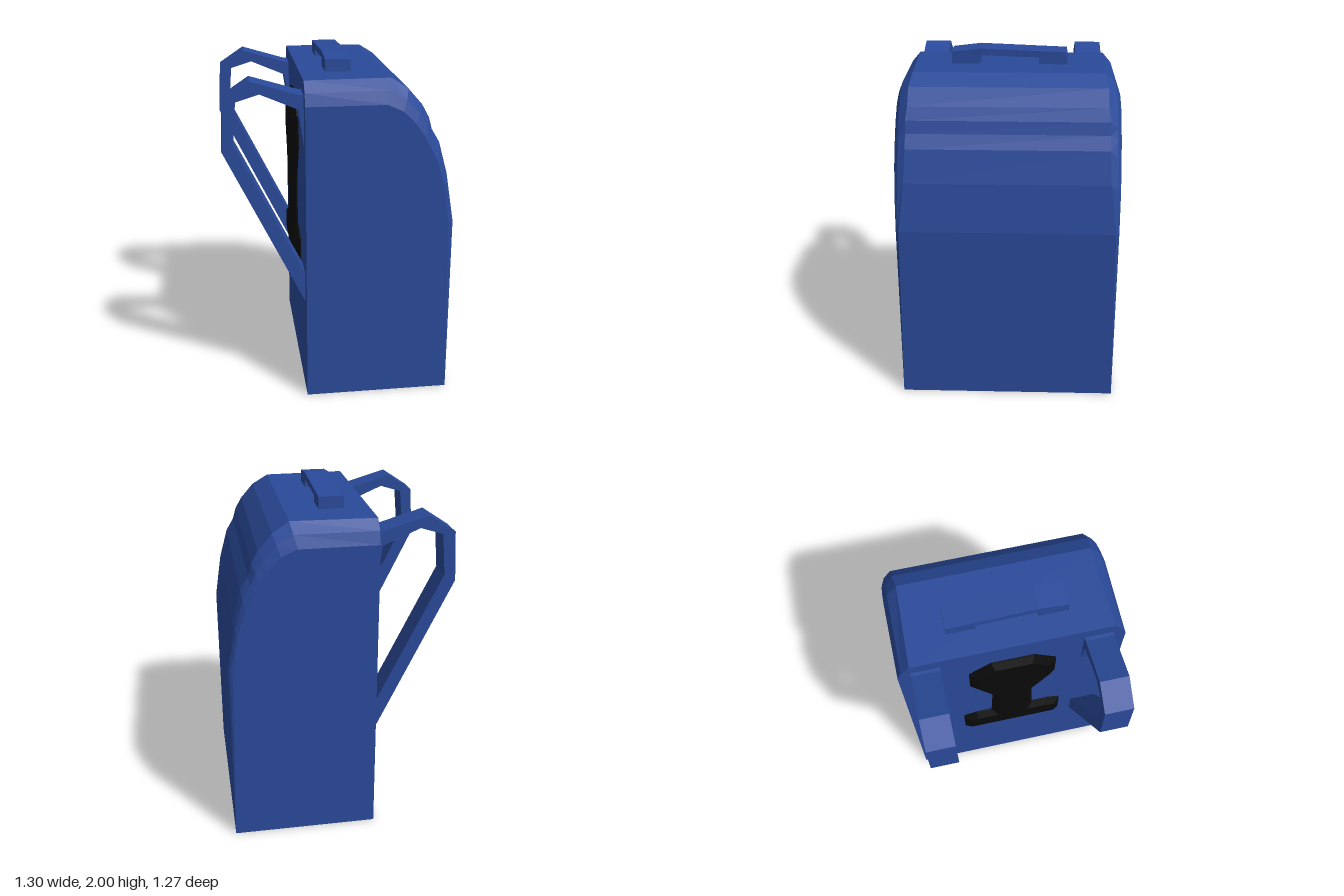
import * as THREE from 'three';

const blue = new THREE.MeshStandardMaterial({ color: 0x2a4a9a, flatShading: true });
const black = new THREE.MeshStandardMaterial({ color: 0x0a0a0a, flatShading: true });

function add(group, name, geometry, material) {
  const mesh = new THREE.Mesh(geometry, material);
  mesh.name = name;
  group.add(mesh);
  return mesh;
}

function shapeOf(points) {
  return new THREE.Shape(points.map(([x, y]) => new THREE.Vector2(x, y)));
}

// Bag body: side profiles lofted across z, bevelled along the top and curved face.
// Each row: inner x, inner y, inner z, outer x, outer y
const PROFILE = [
  [-0.2, 0, 0.635, -0.2, 0],
  [0.65, 0, 0.635, 0.65, 0],
  [0.65, 1.08, 0.615, 0.62, 1.08],
  [0.61, 1.36, 0.58, 0.59, 1.3],
  [0.56, 1.545, 0.57, 0.54, 1.45],
  [0.515, 1.62, 0.57, 0.49, 1.55],
  [0.495, 1.69, 0.57, 0.46, 1.6],
  [0.457, 1.76, 0.56, 0.41, 1.67],
  [0.378, 1.85, 0.56, 0.34, 1.74],
  [0.283, 1.91, 0.545, 0.25, 1.78],
  [-0.2, 1.91, 0.56, -0.2, 1.78],
];

function bodyGeometry() {
  const n = PROFILE.length;
  const positions = [];
  const index = [];
  // [blend towards inner profile, blend of z, side]
  const sections = [[0, 0, 1], [0.55, 0.33, 1], [1, 1, 1], [1, 1, -1], [0.55, 0.33, -1], [0, 0, -1]];
  for (const [t, tz, side] of sections) {
    for (const [ix, iy, iz, ox, oy] of PROFILE) {
      positions.push(
        THREE.MathUtils.lerp(ox, ix, t),
        THREE.MathUtils.lerp(oy, iy, t),
        side * THREE.MathUtils.lerp(0.635, iz, tz),
      );
    }
  }
  for (let s = 0; s < sections.length - 1; s++) {
    for (let i = 0; i < n; i++) {
      const j = (i + 1) % n;
      const a = s * n + i, b = s * n + j, c = b + n, d = a + n;
      index.push(a, d, c, a, c, b);
    }
  }
  // flat side panels
  const last = (sections.length - 1) * n;
  for (let i = 1; i < n - 1; i++) {
    index.push(0, i, i + 1, last, last + i + 1, last + i);
  }
  const geometry = new THREE.BufferGeometry();
  geometry.setAttribute('position', new THREE.Float32BufferAttribute(positions, 3));
  geometry.setIndex(index);
  geometry.computeVertexNormals();
  return geometry;
}

// Shoulder strap: a bent band, thick at the top and tapering down the back panel
function strapGeometry() {
  const shape = shapeOf([
    [-0.19, 0.57], [-0.19, 0.75], [-0.59, 1.56], [-0.57, 1.8], [-0.44, 1.84],
    [-0.23, 1.75], [-0.2, 1.53], [-0.19, 1.53], [-0.19, 1.83], [-0.22, 1.83],
    [-0.49, 1.91], [-0.64, 1.81], [-0.655, 1.525],
  ]);
  return new THREE.ExtrudeGeometry(shape, { depth: 0.16, bevelEnabled: false }).translate(0, 0, -0.08);
}

// Grab handle: a low arch running along z
function handleGeometry() {
  const shape = shapeOf([
    [0.34, 1.9], [0.34, 1.98], [0.175, 2], [-0.335, 1.98], [-0.335, 1.9],
    [-0.17, 1.9], [-0.17, 1.95], [0.175, 1.96], [0.175, 1.9],
  ]);
  return new THREE.ExtrudeGeometry(shape, { depth: 0.145, bevelEnabled: false })
    .rotateY(-Math.PI / 2)
    .translate(0.09, 0, 0);
}

// Back padding: two wide pads joined by a narrow waist, chamfered outwards
function padGeometry() {
  const half = [
    [0.31, 0.7], [0.31, 0.89], [0.23, 0.92], [0.13, 0.92], [0.12, 1.22],
    [0.25, 1.45], [0.25, 1.63], [0.12, 1.74],
  ];
  const mirrored = half.map(([z, y]) => [-z, y]).reverse();
  return new THREE.ExtrudeGeometry(shapeOf([...half, ...mirrored]), {
    depth: 0.01, bevelThickness: 0.03, bevelSize: 0.04, bevelOffset: -0.04, bevelSegments: 1,
  })
    .rotateY(-Math.PI / 2)
    .translate(-0.2, 0, 0);
}

export function createModel() {
  const backpack = new THREE.Group();
  backpack.name = 'backpack';
  add(backpack, 'body', bodyGeometry(), blue);
  add(backpack, 'grabHandle', handleGeometry(), blue);
  add(backpack, 'backPad', padGeometry(), black);
  for (const side of [-1, 1]) {
    const strap = add(backpack, side < 0 ? 'shoulderStrapRear' : 'shoulderStrapFront', strapGeometry(), blue);
    strap.position.z = side * 0.48;
  }
  return backpack;
}
